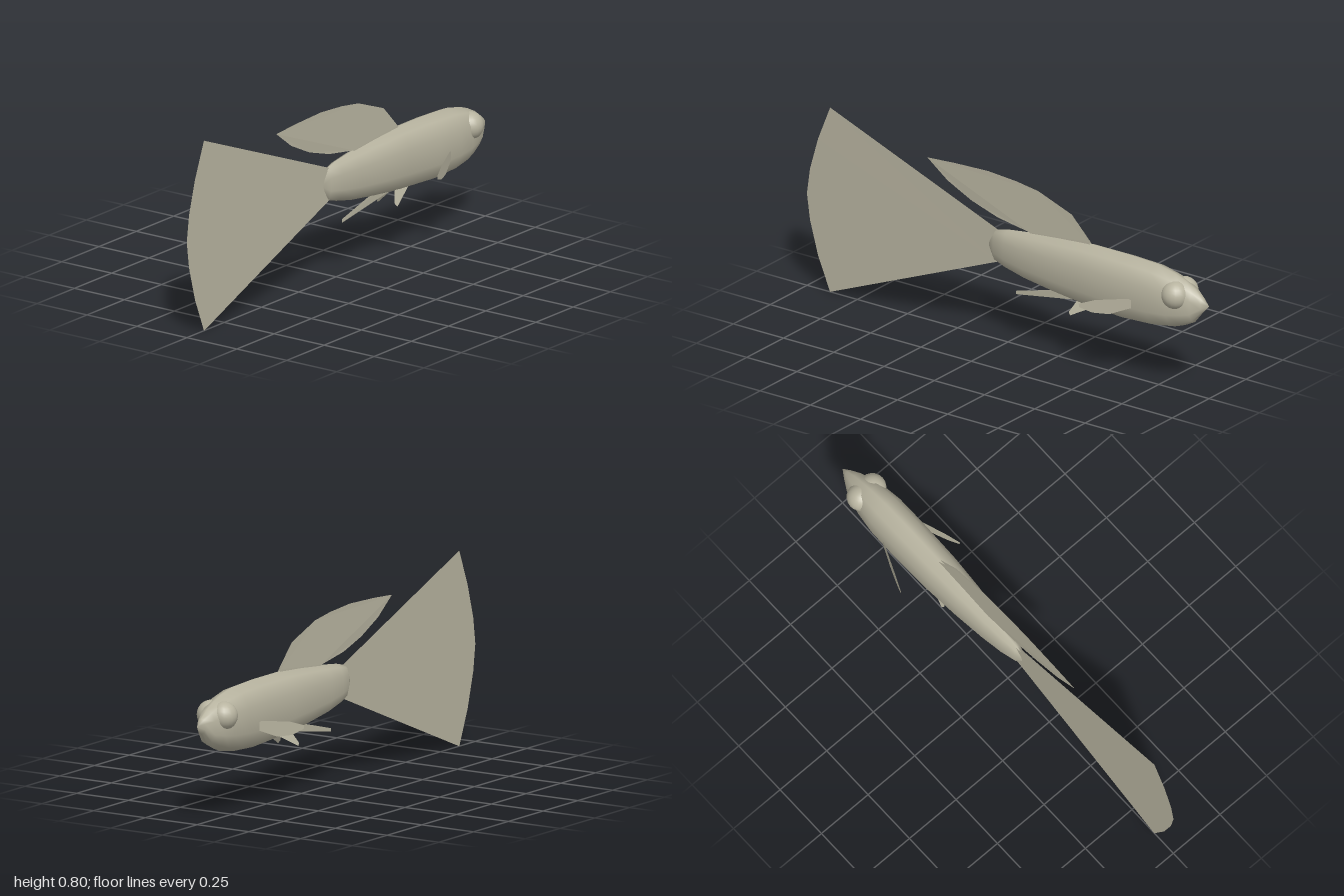
import * as THREE from 'three';

const scales = new THREE.MeshStandardMaterial({ color: 0xb8b4a0, side: THREE.DoubleSide });
scales.name = 'paleOlive';

// Smooth ten-sided body lofted from snout to tail root: [z, half width, bottom y, top y]
function makeBody() {
  const stations = [
    [-0.97, 0.02, 0.366, 0.428], [-0.93, 0.042, 0.315, 0.46], [-0.88, 0.058, 0.29, 0.485],
    [-0.83, 0.07, 0.272, 0.503], [-0.74, 0.081, 0.257, 0.522], [-0.6, 0.082, 0.25, 0.528],
    [-0.4, 0.077, 0.262, 0.528], [-0.25, 0.067, 0.278, 0.517], [-0.1, 0.052, 0.298, 0.502],
    [0, 0.038, 0.32, 0.489], [0.06, 0.022, 0.338, 0.474],
  ];
  const sides = 10, pos = [], index = [];
  for (const [z, w, low, high] of stations) {
    for (let i = 0; i < sides; i++) {
      const t = (i / sides) * Math.PI * 2, c = Math.cos(t);
      const y = Math.sign(c) * Math.pow(Math.abs(c), 0.8); // slightly square section
      pos.push(w * Math.sin(t), (low + high) / 2 + y * (high - low) / 2, z);
    }
  }
  const snout = pos.length / 3, end = snout + 1, last = (stations.length - 1) * sides;
  pos.push(0, 0.4, -1, 0, 0.405, 0.1);
  for (let i = 0; i < sides; i++) {
    const j = (i + 1) % sides;
    for (let r = 0; r < last; r += sides) {
      index.push(r + i, r + sides + i, r + j, r + j, r + sides + i, r + sides + j);
    }
    index.push(snout, i, j, end, last + j, last + i);
  }
  const geo = new THREE.BufferGeometry();
  geo.setAttribute('position', new THREE.Float32BufferAttribute(pos, 3));
  geo.setIndex(index);
  geo.computeVertexNormals();
  return geo;
}

// Thin two-sheet fin; outline points are [z, y, half thickness], lean gives x from z and y
function makeFin(outline, lean = () => 0) {
  const contour = outline.map(([z, y]) => new THREE.Vector2(z, y));
  const triangles = THREE.ShapeUtils.triangulateShape(contour, []);
  const flip = THREE.ShapeUtils.isClockWise(contour);
  const pos = [];
  for (const side of [-1, 1]) {
    for (const tri of triangles) {
      const order = (side > 0) !== flip ? [...tri].reverse() : tri;
      for (const k of order) {
        const [z, y, half = 0.0008] = outline[k];
        pos.push(lean(z, y) + side * half, y, z);
      }
    }
  }
  const geo = new THREE.BufferGeometry();
  geo.setAttribute('position', new THREE.Float32BufferAttribute(pos, 3));
  geo.computeVertexNormals();
  return geo;
}

export function createModel() {
  const fish = new THREE.Group();
  fish.name = 'fish';
  const add = (name, geo) => {
    const mesh = new THREE.Mesh(geo, scales);
    mesh.name = name;
    fish.add(mesh);
    return mesh;
  };

  add('body', makeBody());

  // Fan tail and back fin, thicker at the root
  add('tailFin', makeFin([
    [0.05, 0.472, 0.005], [0.885, 0.8], [0.945, 0.65], [0.985, 0.51], [1, 0.4],
    [0.985, 0.29], [0.945, 0.145], [0.885, 0], [0.05, 0.338, 0.005],
  ]));
  add('dorsalFin', makeFin([
    [-0.42, 0.515, 0.005], [-0.405, 0.535, 0.005], [-0.315, 0.63, 0.003], [-0.15, 0.692], [-0.04, 0.708],
    [0.1, 0.718], [0.27, 0.712], [0.4, 0.703], [0.3, 0.628], [0.18, 0.57],
    [0.05, 0.53, 0.003], [-0.11, 0.505, 0.005], [-0.12, 0.49, 0.005],
  ]));
  add('analFin', makeFin([
    [-0.38, 0.275, 0.004], [-0.28, 0.295, 0.004], [-0.04, 0.232], [-0.04, 0.218],
  ]));

  // Paired eyes and lower fins
  for (const s of [1, -1]) {
    const label = s > 0 ? 'left' : 'right';
    const eye = add(label + 'Eye', new THREE.SphereGeometry(0.058, 20, 14));
    eye.position.set(s * 0.03, 0.425, -0.855);

    add(label + 'PectoralFin', makeFin([
      [-0.69, 0.365], [-0.655, 0.376], [-0.53, 0.357], [-0.468, 0.335], [-0.47, 0.32],
      [-0.52, 0.302], [-0.585, 0.302], [-0.655, 0.332], [-0.69, 0.345],
    ], (z) => s * (0.08 + (z + 0.66) * 0.41)));

    add(label + 'PelvicFin', makeFin([
      [-0.47, 0.285], [-0.37, 0.285], [-0.44, 0.267], [-0.345, 0.217],
      [-0.335, 0.228], [-0.36, 0.275],
    ].filter((_, i) => i !== 1), (z, y) => s * (0.026 + (0.27 - y) * 0.44)));
  }
  return fish;
}
